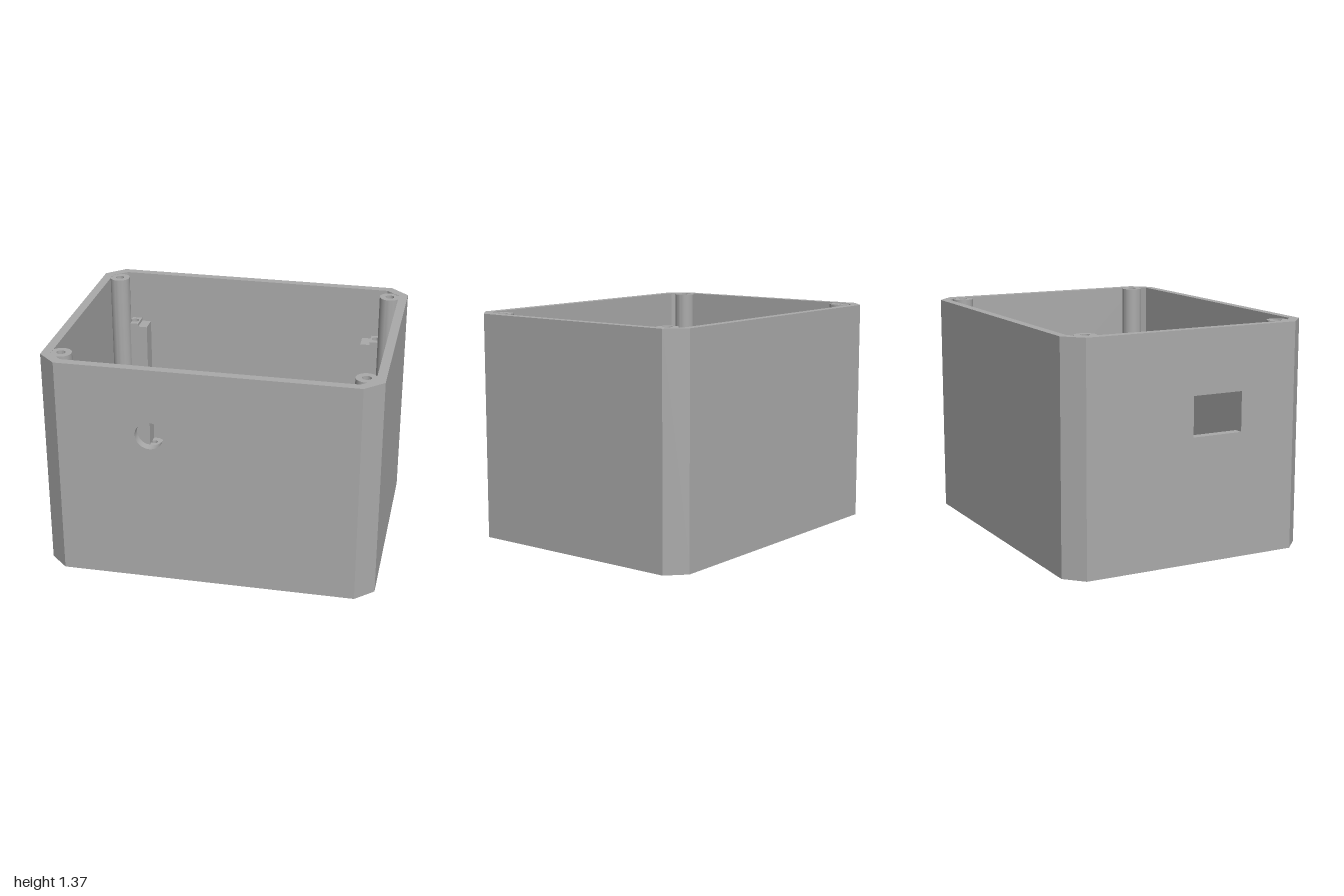
import * as THREE from 'three';
import { toCreasedNormals } from 'three/addons/utils/BufferGeometryUtils.js';

const H = 1.37, FLOOR = 0.05;
const WX = 0.945, WZ = 0.73; // inner wall faces

const poly = (pts) => new THREE.Shape(pts.map(([x, y]) => new THREE.Vector2(x, y)));
const rect = (x0, x1, y0, y1) => poly([[x0, y0], [x1, y0], [x1, y1], [x0, y1]]);
const circle = (x, y, r) => new THREE.Shape().absarc(x, y, r, 0, Math.PI * 2, false);
// rounded slot lying along x
const slot = (x0, x1, y, r) => new THREE.Shape()
  .absarc(x1 - r, y, r, -Math.PI / 2, Math.PI / 2, false)
  .absarc(x0 + r, y, r, Math.PI / 2, Math.PI * 1.5, false);

export function createModel() {
  const group = new THREE.Group();
  const grey = new THREE.MeshStandardMaterial({ color: 0xaaaaaa });
  grey.name = 'grey plastic';

  const extrude = (shape, depth, holes = []) => {
    shape.holes.push(...holes);
    return new THREE.ExtrudeGeometry(shape, { depth, bevelEnabled: false, curveSegments: 20 });
  };
  const add = (name, geo) => {
    const mesh = new THREE.Mesh(toCreasedNormals(geo, 0.5), grey);
    mesh.name = name;
    group.add(mesh);
  };
  // plan shape drawn in (x, -z), raised from y0 to y1
  const raise = (name, shape, y0, y1, holes) =>
    add(name, extrude(shape, y1 - y0, holes).rotateX(-Math.PI / 2).translate(0, y0, 0));
  // rectangular post given in x and z, with an optional screw hole
  const post = (name, x0, x1, z0, z1, y0, y1, hole) =>
    raise(name, rect(x0, x1, -z1, -z0), y0, y1, hole ? [circle(hole[0], -hole[1], hole[2])] : []);

  // floor plate with mounting holes and slots
  const floorHoles = [slot(-0.03, 0.14, 0.142, 0.023), slot(-0.03, 0.14, -0.705, 0.02)];
  for (const s of [-1, 1]) for (const z of [-0.41, 0.21]) floorHoles.push(circle(s * 0.885, -z, 0.052));
  raise('floor', poly([[0.89, 0.784], [-0.89, 0.784], [-1, 0.68], [-1, -0.68],
    [-0.89, -0.784], [0.89, -0.784], [1, -0.68], [1, 0.68]]), 0, FLOOR, floorHoles);

  // walls, with a round port in front and a window on one side
  add('frontWall', extrude(rect(-0.89, 0.89, FLOOR, H), 0.784 - WZ,
    [circle(-0.335, 0.955, 0.085)]).translate(0, 0, WZ));
  add('backWall', extrude(rect(-0.89, 0.89, FLOOR, H), 0.784 - WZ).translate(0, 0, -0.784));
  const side = (holes) => extrude(rect(-0.68, 0.68, FLOOR, H), 1 - WX, holes).rotateY(-Math.PI / 2);
  add('leftWall', side([]).translate(1, 0, 0));
  add('rightWall', side([rect(0, 0.32, 0.75, 0.99)]).translate(-WX, 0, 0));

  for (const sx of [-1, 1]) {
    for (const sz of [-1, 1]) {
      // bevelled corner walls and round lid posts
      raise('cornerWall', poly([[0.89, 0.784], [1, 0.68], [WX, 0.68], [WX, 0.655], [0.865, WZ], [0.89, WZ]]
        .map(([x, z]) => [x * sx, z * sz])), FLOOR, H);
      raise('lidPost', circle(sx * 0.89, sz * 0.63, 0.064), FLOOR, H - 0.002,
        [circle(sx * 0.89, sz * 0.63, 0.027)]);
    }
    // side posts
    for (const z of [-0.055, 0.415]) {
      const a = sx * 0.837, b = sx * 0.947;
      post('sidePost', Math.min(a, b), Math.max(a, b), z - 0.045, z + 0.045, FLOOR, 0.69, [sx * 0.88, z, 0.022]);
    }
    // tall back posts with a side rib
    const span = (a, b) => (sx > 0 ? [a, b] : [-b, -a]);
    post('backPost', ...span(0.775, 0.84), -0.732, -0.62, FLOOR, 1.05, [sx * 0.81, -0.68, 0.026]);
    post('backPostRib', ...span(0.715, 0.775), -0.732, -0.62, FLOOR, 1.03);
    // small ribs by the front corners and floor rails
    post('cornerRib', ...span(0.832, 0.87), 0.55, 0.62, FLOOR, 0.69);
    post('floorRail', ...span(0.527, 0.638), -0.05, 0.65, FLOOR, 0.12);
  }

  // bracket under the window
  post('windowBracket', -0.947, -0.837, 0.09, 0.222, 0.45, 0.6, [-0.893, 0.155, 0.028]);

  // round standoffs and a square stub on the floor
  for (const [x, z] of [[-0.695, -0.665], [0.163, -0.645], [0.617, -0.645], [-0.695, -0.17]])
    raise('standoff', circle(x, -z, 0.063), FLOOR, 0.15, [circle(x, -z, 0.022)]);
  post('floorStub', -0.135, -0.045, -0.64, -0.535, FLOOR, 0.15);

  return group;
}
